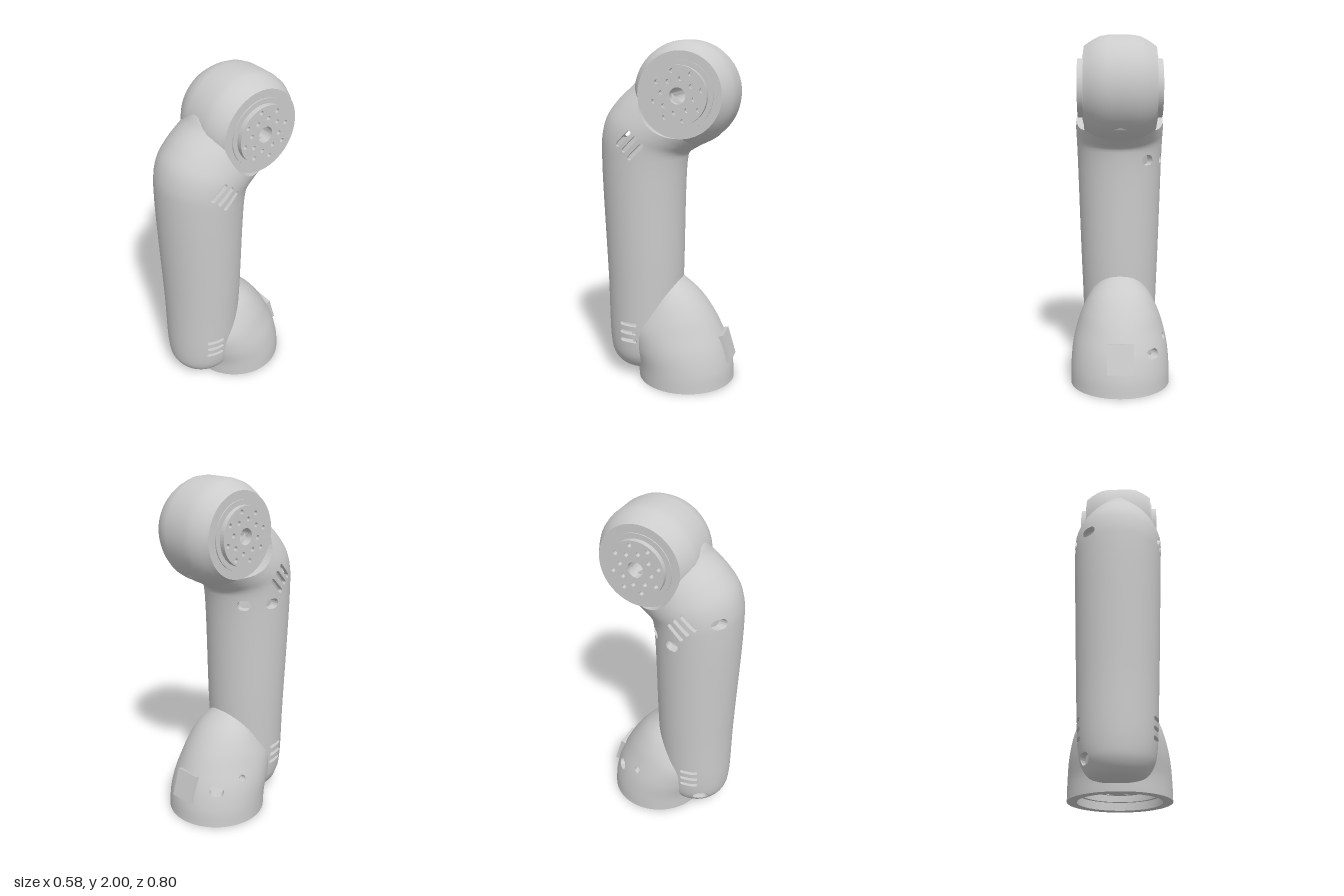
import * as THREE from 'three';
import { toCreasedNormals } from 'three/addons/utils/BufferGeometryUtils.js';

const V = (x, y, z) => new THREE.Vector3(x, y, z);
const solid = new THREE.MeshStandardMaterial({ color: 0xcccccc });
const shell = new THREE.MeshStandardMaterial({ color: 0xcccccc, side: THREE.DoubleSide });
const HEAD = V(0, 1.71, -0.11);

function mesh(name, geometry, material = solid) {
  const m = new THREE.Mesh(geometry, material);
  m.name = name;
  return m;
}

// Skin through elliptical sections [frontZ, frontY, backZ, backY, halfWidth]; returns triangles as polygons.
function loft(sections, sides = 64, steps = 10) {
  const front = new THREE.CatmullRomCurve3(sections.map(s => V(s[4], s[1], s[0])));
  const back = new THREE.CatmullRomCurve3(sections.map(s => V(s[4], s[3], s[2])));
  const rows = (sections.length - 1) * steps, pos = [], index = [];
  for (let i = 0; i <= rows; i++) {
    const f = front.getPoint(i / rows), b = back.getPoint(i / rows);
    for (let j = 0; j < sides; j++) {
      const a = j / sides * Math.PI * 2, k = (1 + Math.cos(a)) / 2;
      pos.push(f.x * Math.sin(a), b.y + (f.y - b.y) * k, b.z + (f.z - b.z) * k);
      if (i === rows) continue;
      const p = i * sides + j, q = i * sides + (j + 1) % sides;
      index.push(p, q, q + sides, p, q + sides, p + sides);
    }
  }
  const g = new THREE.BufferGeometry();
  g.setAttribute('position', new THREE.Float32BufferAttribute(pos, 3));
  g.setIndex(index);
  g.computeVertexNormals();
  const verts = pos.slice(0, pos.length / 3).map((_, i) => ({
    p: V().fromBufferAttribute(g.attributes.position, i),
    n: V().fromBufferAttribute(g.attributes.normal, i),
  }));
  const polys = [];
  for (let i = 0; i < index.length; i += 3) polys.push([0, 1, 2].map(k => verts[index[i + k]]));
  return polys;
}

// Divide a polygon by a plane.
function split(poly, plane) {
  const out = [], inn = [];
  poly.forEach((a, i) => {
    const b = poly[(i + 1) % poly.length];
    const da = plane.distanceToPoint(a.p), db = plane.distanceToPoint(b.p);
    (da > 0 ? out : inn).push(a);
    if ((da > 0) !== (db > 0)) {
      const t = da / (da - db);
      const m = { p: a.p.clone().lerp(b.p, t), n: a.n.clone().lerp(b.n, t).normalize() };
      out.push(m);
      inn.push(m);
    }
  });
  return [out, inn];
}

// Cut a convex outline into a skin along dir; the edge gets a wall of the given lip, or down to the floor.
function cut(polys, { at, dir, outline, roll = 0, depth = 0.1, lip = 0.025, toFloor = false }) {
  const o = new THREE.Object3D();
  o.position.copy(at);
  o.lookAt(at.clone().add(dir));
  o.rotateZ(roll);
  o.updateMatrix();
  const planes = outline.map((a, i) => {
    const b = outline[(i + 1) % outline.length];
    return new THREE.Plane().setFromNormalAndCoplanarPoint(
      V(b.y - a.y, a.x - b.x, 0).normalize(), V(a.x, a.y, 0)).applyMatrix4(o.matrix);
  });
  const bottom = new THREE.Plane(V(0, 0, -1), -depth).applyMatrix4(o.matrix);
  const all = [bottom, ...planes], d = dir.clone().normalize(), result = [];
  const sink = p => p.clone().addScaledVector(d, toFloor ? bottom.distanceToPoint(p) : -lip);
  for (const poly of polys) {
    if (all.some(pl => poly.every(v => pl.distanceToPoint(v.p) >= 0))) { result.push(poly); continue; }
    let rest = poly;
    for (const pl of all) {
      const [out, inn] = split(rest, pl);
      if (out.length > 2) result.push(out);
      rest = inn;
      if (rest.length < 3) break;
    }
    if (rest.length < 3 || (!lip && !toFloor)) continue;
    rest.forEach((a, i) => {
      const b = rest[(i + 1) % rest.length];
      const side = planes.find(pl => [a, b].every(v => Math.abs(pl.distanceToPoint(v.p)) < 1e-6));
      if (!side) return;
      const n = side.normal.clone().negate();
      result.push([a.p, b.p, sink(b.p), sink(a.p)].map(p => ({ p, n })));
    });
  }
  return result;
}

function skin(polys) {
  const pos = [], nor = [];
  for (const poly of polys)
    for (let i = 1; i < poly.length - 1; i++)
      for (const v of [poly[0], poly[i], poly[i + 1]]) { pos.push(...v.p); nor.push(...v.n); }
  const g = new THREE.BufferGeometry();
  g.setAttribute('position', new THREE.Float32BufferAttribute(pos, 3));
  g.setAttribute('normal', new THREE.Float32BufferAttribute(nor, 3));
  return g;
}

// Round-ended outline; a circle when length is 0.
function slot(length, r, n = 16) {
  return Array.from({ length: n }, (_, k) => {
    const a = (k + 0.5) / n * Math.PI * 2;
    return new THREE.Vector2(Math.cos(a) * r + Math.sign(Math.cos(a)) * length / 2, Math.sin(a) * r);
  });
}

// Drilled mounting disc facing +z
function flange(name) {
  const s = new THREE.Shape().absarc(0, 0, 0.162, 0, Math.PI * 2);
  const drill = (x, y, r) => s.holes.push(new THREE.Path().absarc(x, y, r, 0, Math.PI * 2, true));
  drill(0, 0, 0.045);
  for (const [r, start] of [[0.136, 0.23], [0.092, 0.6]])
    for (let i = 0; i < 8; i++) {
      const a = start + i * Math.PI / 4;
      drill(r * Math.cos(a), r * Math.sin(a), 0.012);
    }
  return mesh(name, new THREE.ExtrudeGeometry(s, { depth: 0.03, bevelEnabled: false, curveSegments: 32 }));
}

function lathe(points, crease = 0.5) {
  return toCreasedNormals(new THREE.LatheGeometry(points.map(p => new THREE.Vector2(...p)), 64), crease);
}

export function createModel() {
  const model = new THREE.Group();

  // Limb with bent elbow
  let limb = loft([
    [0.16, 0.04, 0.16, 0.04, 0], [0.24, 0.046, 0.07, 0.046, 0.08], [0.31, 0.075, 0, 0.075, 0.15],
    [0.35, 0.13, -0.045, 0.13, 0.19], [0.365, 0.2, -0.06, 0.2, 0.208], [0.375, 0.6, -0.08, 0.6, 0.228],
    [0.4, 1.35, -0.105, 1.35, 0.253], [0.393, 1.48, -0.118, 1.375, 0.256], [0.362, 1.58, -0.155, 1.4, 0.257],
    [0.295, 1.67, -0.2, 1.425, 0.25], [0.2, 1.76, -0.25, 1.45, 0.235], [0.15, 1.82, -0.3, 1.49, 0.2],
    [0.08, 1.84, -0.29, 1.53, 0.19],
  ]);
  for (const s of [1, -1]) {
    const dir = V(s, 0, 0);
    // Vent slots, level at the foot and slanted at the elbow
    for (const y of [0.26, 0.312, 0.365])
      limb = cut(limb, { at: V(s * 0.2, y, 0.195), dir, outline: slot(0.088, 0.012) });
    for (const [z, y] of [[0.196, 1.471], [0.158, 1.441], [0.124, 1.401]])
      limb = cut(limb, { at: V(s * 0.25, y, z), dir, outline: slot(0.095, 0.013), roll: s * Math.PI / 4 });
    // Round recess beside the head
    limb = cut(limb, { at: V(s * 0.2, HEAD.y, HEAD.z), dir, outline: slot(0, 0.235, 64), depth: 0, toFloor: true });
  }
  // Screw holes
  for (const [x, y, z, dx, dy, dz] of [
    [-0.16, 1.455, 0.34, -0.1, 0, 1], [-0.175, 0.15, 0.28, -0.5, 0, 1],
    [-0.16, 1.3, -0.04, -0.6, 0, -1], [-0.245, 1.3, 0.1, -1, 0, 0],
  ]) limb = cut(limb, { at: V(x, y, z), dir: V(dx, dy, dz), outline: slot(0.02, 0.03), lip: 0.05 });
  model.add(mesh('limb', skin(limb), shell));

  // Foot shell, open inside the limb and underneath
  let foot = loft([
    [0.18, 0, -0.4, 0, 0.29], [0.19, 0.1, -0.392, 0.1, 0.288], [0.23, 0.22, -0.362, 0.22, 0.278],
    [0.25, 0.33, -0.315, 0.33, 0.253], [0.2, 0.42, -0.265, 0.42, 0.222],
    [0.13, 0.52, -0.19, 0.52, 0.17], [0.05, 0.62, -0.08, 0.62, 0.085],
  ]);
  const opening = [[-0.19, -0.1], [0.19, -0.1], [0.19, 0.2], [-0.19, 0.2]].map(p => new THREE.Vector2(...p));
  foot = cut(foot, { at: V(0, 0.3, 0.13), dir: V(0, 0, 1), outline: opening, depth: 0, lip: 0 });
  foot = cut(foot, { at: V(-0.19, 0.22, -0.29), dir: V(-1, 0, -1), outline: slot(0.03, 0.028), lip: 0.05 });
  foot = cut(foot, { at: V(-0.26, 0.28, -0.14), dir: V(-1, 0, 0), outline: slot(0, 0.02), lip: 0.04 });
  model.add(mesh('foot', skin(foot), shell));

  // Stepped socket under the foot
  const socket = mesh('footSocket', lathe([
    [0.29, 0], [0.235, 0], [0.235, 0.045], [0.215, 0.045], [0.215, 0.11], [0.19, 0.11], [0.19, 0.1], [0, 0.1],
  ]), shell);
  socket.position.z = HEAD.z;
  const footFlange = flange('footFlange');
  footFlange.position.set(0, 0.1, HEAD.z);
  footFlange.rotation.x = Math.PI / 2;
  model.add(socket, footFlange);

  // Connector plate on the back of the foot
  const plate = mesh('backPlate', new THREE.BoxGeometry(0.15, 0.17, 0.03));
  plate.position.set(0, 0.215, -0.36);
  plate.rotation.x = 0.29;
  model.add(plate);

  // Head: rounded drum with a bore through it
  const head = mesh('head', lathe([
    [0.045, -0.2], [0.19, -0.2], [0.23, -0.2], [0.248, -0.175], [0.264, -0.15], [0.283, -0.11], [0.29, -0.07],
    [0.29, 0.07], [0.283, 0.11], [0.264, 0.15], [0.248, 0.175], [0.23, 0.2], [0.19, 0.2], [0.045, 0.2], [0.045, -0.2],
  ]), shell);
  head.rotation.z = Math.PI / 2;
  head.position.copy(HEAD);
  model.add(head);

  // Side plates and drilled discs of the head
  for (const s of [1, -1]) {
    const side = new THREE.Group();
    side.name = 'headSide';
    const ring = mesh('headRing', lathe([[0.045, 0], [0.19, 0], [0.19, 0.007], [0.045, 0.007], [0.045, 0]]), shell);
    ring.rotation.x = Math.PI / 2;
    const disc = flange('headFlange');
    disc.position.z = 0.006;
    // Recess floor
    const floor = mesh('recessFloor', new THREE.RingGeometry(0.19, 0.236, 64));
    floor.position.z = 0.0005;
    side.add(ring, disc, floor);
    side.rotation.y = s * Math.PI / 2;
    side.position.set(s * 0.2, HEAD.y, HEAD.z);
    model.add(side);
  }
  return model;
}
